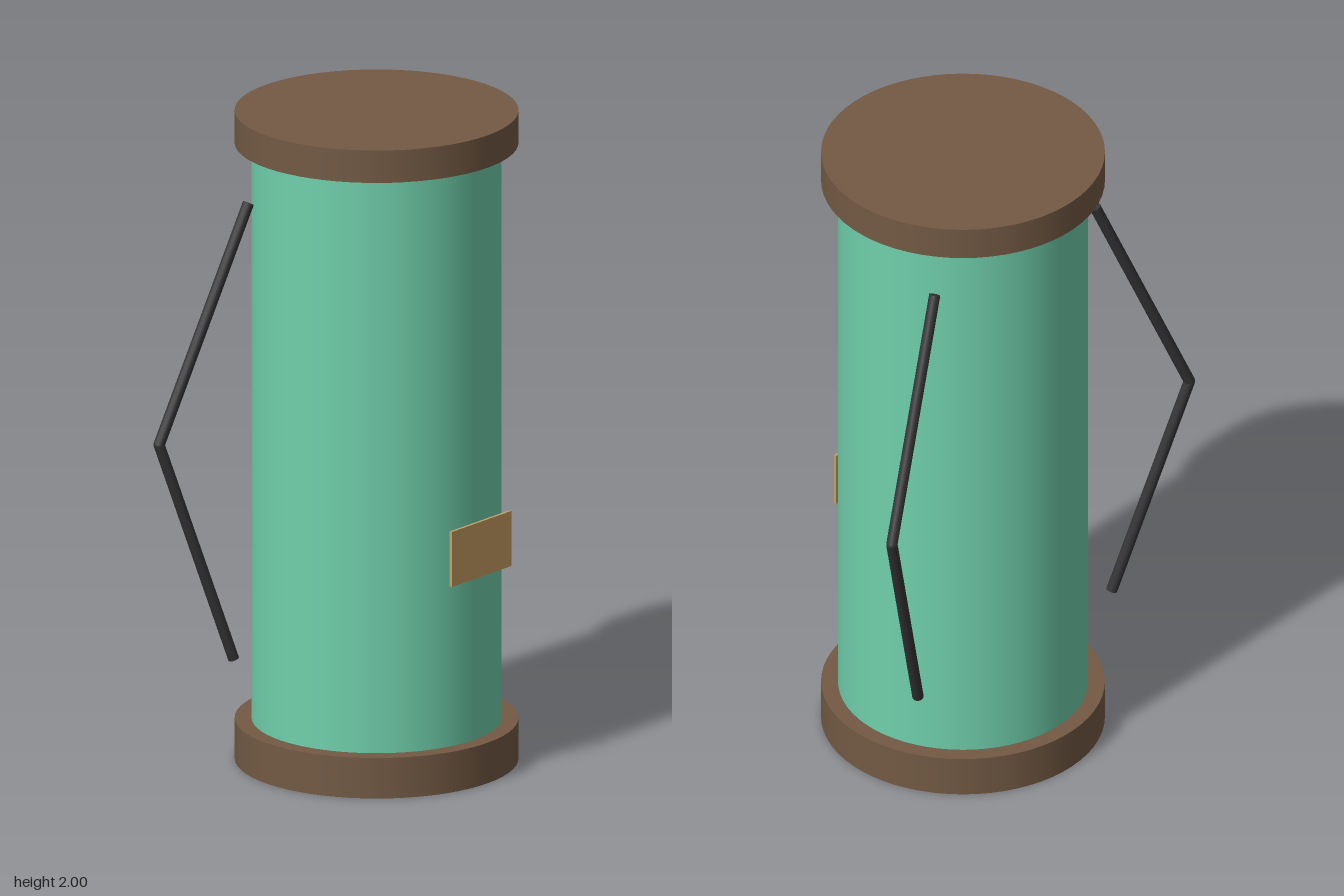
import * as THREE from 'three';

const material = (name, color) => {
  const m = new THREE.MeshStandardMaterial({ color });
  m.name = name;
  return m;
};

export function createModel() {
  const green = material('mint green', 0x70cfac);
  const brown = material('brown', 0x735a44);
  const dark = material('dark grey', 0x343436);
  const tan = material('tan', 0xc89f64);

  const model = new THREE.Group();
  model.name = 'canister';
  const add = (name, geometry, mat, parent = model) => {
    const mesh = new THREE.Mesh(geometry, mat);
    mesh.name = name;
    parent.add(mesh);
    return mesh;
  };

  // Cylindrical body
  add('body', new THREE.CylinderGeometry(0.37, 0.37, 1.8, 64), green).position.y = 1.01;

  // Wider end discs
  const disc = (name, bottom, top) => {
    const h = top - bottom;
    add(name, new THREE.CylinderGeometry(0.42, 0.42, h, 64), brown).position.y = bottom + h / 2;
  };
  disc('base', 0, 0.125);
  disc('lid', 1.9, 2);

  // Label plate standing just off the front
  add('labelPlate', new THREE.BoxGeometry(0.28, 0.17, 0.009), tan).position.set(0, 0.72, 0.395);

  // Bent shoulder straps, mirrored: two rods meeting at a rounded elbow
  const R = 0.017;
  for (const [side, label] of [[1, 'left'], [-1, 'right']]) {
    const strap = new THREE.Group();
    strap.name = label + 'Strap';
    model.add(strap);
    const points = [[0.335, 1.75, -0.217], [0.622, 1.05, -0.325], [0.405, 0.36, -0.217]]
      .map(([x, y, z]) => new THREE.Vector3(side * x, y, z));
    ['upper', 'lower'].forEach((part, i) => {
      const a = points[i], b = points[i + 1];
      const rod = add(part + 'Rod', new THREE.CylinderGeometry(R, R, a.distanceTo(b), 12), dark, strap);
      rod.position.addVectors(a, b).multiplyScalar(0.5);
      rod.quaternion.setFromUnitVectors(new THREE.Vector3(0, 1, 0), a.clone().sub(b).normalize());
    });
    add('elbow', new THREE.SphereGeometry(R, 12, 8), dark, strap).position.copy(points[1]);
  }
  return model;
}
